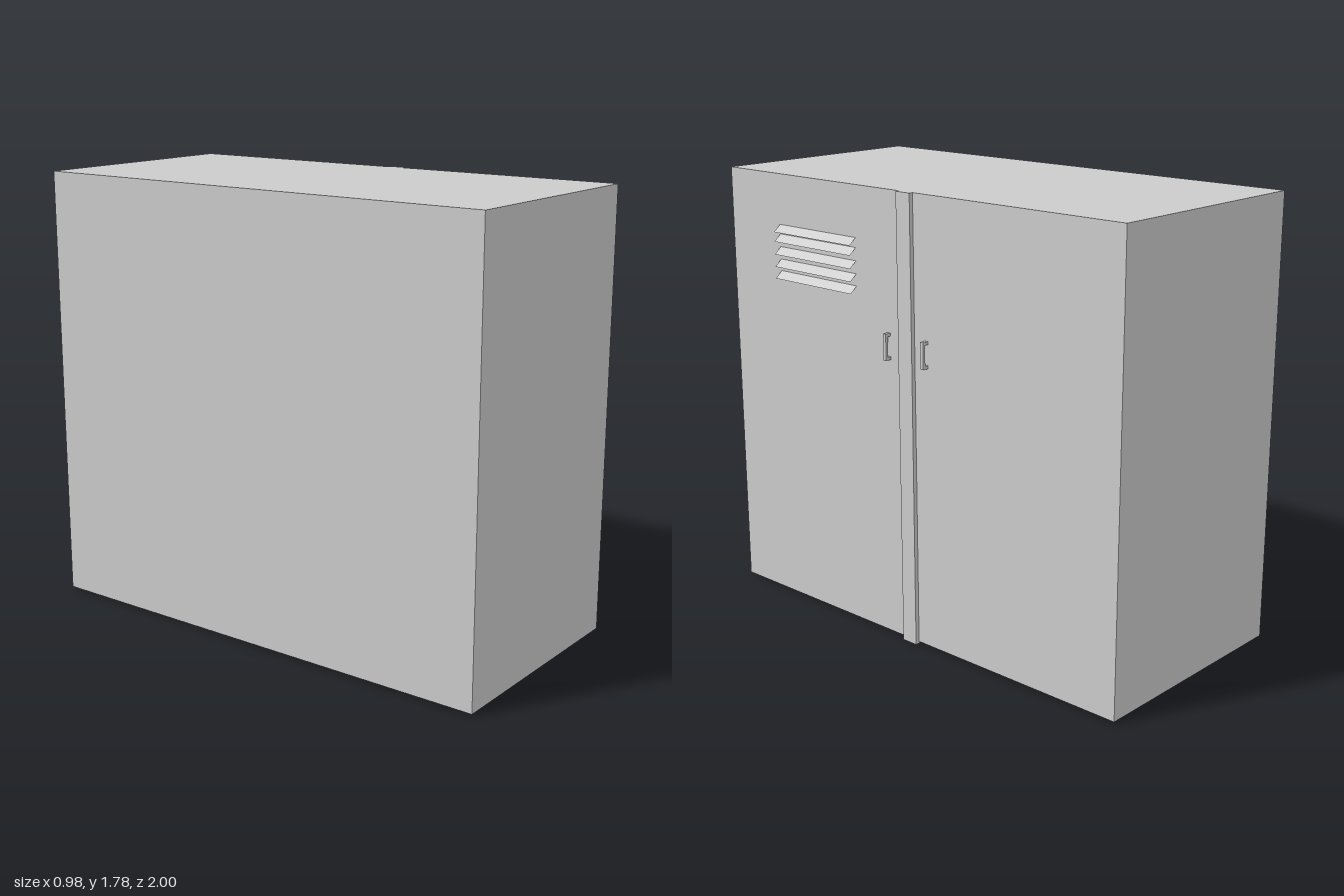
import * as THREE from 'three';

export function createModel() {
  const cabinet = new THREE.Group();
  cabinet.name = 'cabinet';
  const metal = new THREE.MeshStandardMaterial({ color: 0xcccccc, flatShading: true });
  const wallX = 0.456; // plane of the doors

  // Box given by its minimum and maximum corners
  function box(name, [x0, y0, z0], [x1, y1, z1], parent = cabinet) {
    const mesh = new THREE.Mesh(new THREE.BoxGeometry(x1 - x0, y1 - y0, z1 - z0), metal);
    mesh.position.set((x0 + x1) / 2, (y0 + y1) / 2, (z0 + z1) / 2);
    mesh.name = name;
    parent.add(mesh);
  }

  // Main case and the strip covering the gap between the doors
  box('body', [-0.489, 0.008, -1], [wallX, 1.777, 1]);
  box('centreStrip', [wallX - 0.005, 0, -0.035], [0.473, 1.777, 0.035]);

  // A pull handle on each door: upright grip on two short posts
  for (const z of [-0.096, 0.1]) {
    const handle = new THREE.Group();
    handle.name = z > 0 ? 'leftHandle' : 'rightHandle';
    const [z0, z1] = [z - 0.0075, z + 0.0075];
    box('grip', [0.471, 1.132, z0], [0.482, 1.236, z1], handle);
    box('upperPost', [wallX - 0.002, 1.224, z0], [0.471, 1.236, z1], handle);
    box('lowerPost', [wallX - 0.002, 1.132, z0], [0.471, 1.144, z1], handle);
    cabinet.add(handle);
  }

  // Louvres: thin open slats sloping down and outwards from the door
  const louvres = new THREE.Group();
  louvres.name = 'louvres';
  const rise = 0.027, reach = 0.032;
  for (const top of [1.576, 1.538, 1.487, 1.437, 1.39]) {
    const slat = new THREE.Mesh(new THREE.PlaneGeometry(0.437, Math.hypot(rise, reach)), metal);
    slat.geometry.rotateX(-Math.atan2(reach, rise)).rotateY(Math.PI / 2);
    slat.position.set(wallX + reach / 2, top - rise / 2, 0.491);
    slat.name = 'slat';
    louvres.add(slat);
  }
  cabinet.add(louvres);

  return cabinet;
}
